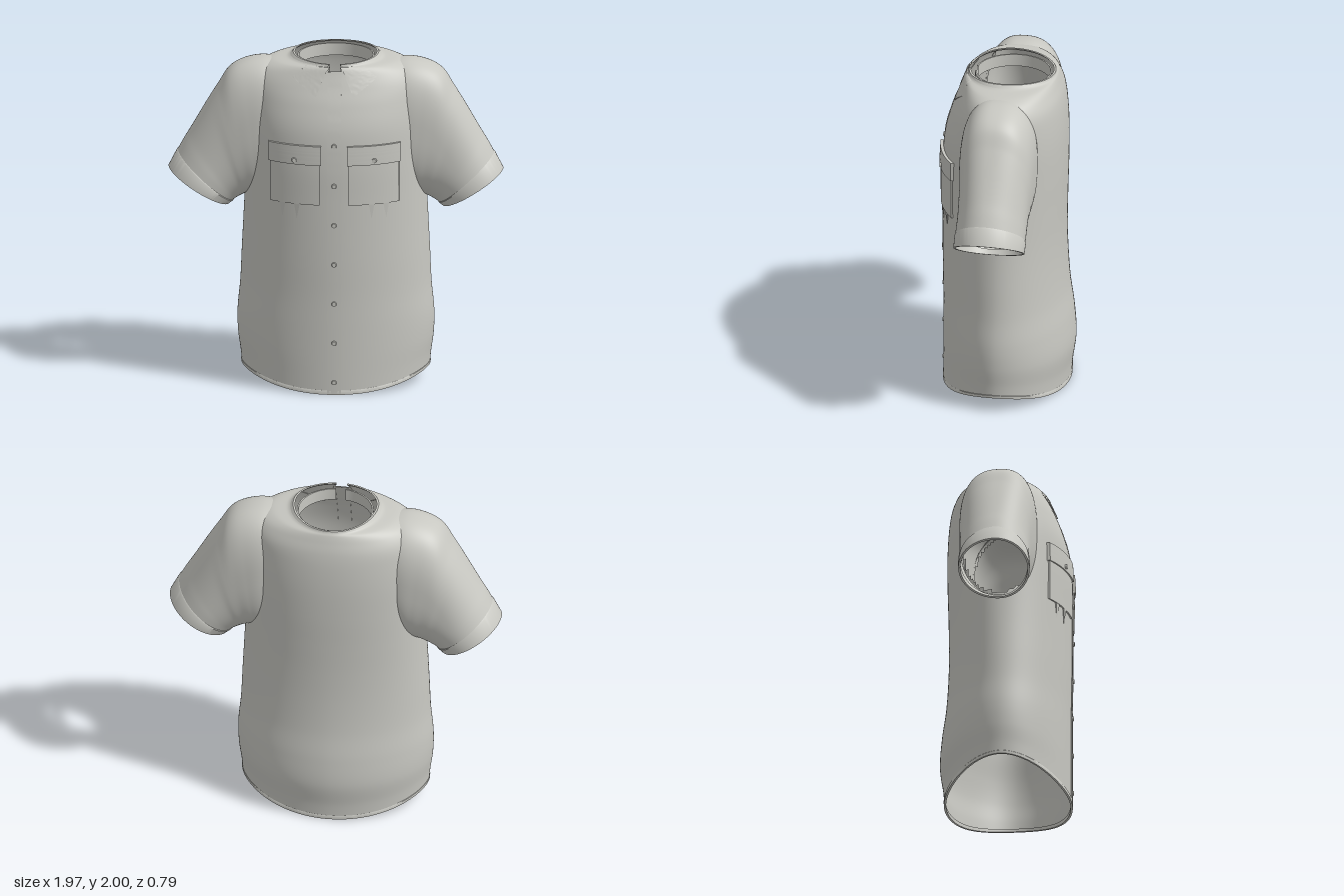
import * as THREE from 'three';
import { toCreasedNormals } from 'three/addons/utils/BufferGeometryUtils.js';

const fabric = new THREE.MeshStandardMaterial({ color: 0xc8c8c2, side: THREE.DoubleSide });
fabric.name = 'light grey fabric';

// Torso sections: y, half width, front z, back depth, roundness exponent
const TORSO = [
  [0, .553, .38, .37, 1.88], [.1, .56, .38, .377, 1.88], [.25, .575, .38, .396, 1.88],
  [.42, .578, .38, .385, 1.88], [.6, .562, .38, .36, 1.9], [.8, .553, .383, .346, 1.92],
  [1, .543, .384, .342, 1.95], [1.2, .534, .384, .345, 2], [1.4, .528, .383, .35, 2.05],
  [1.6, .525, .368, .35, 2.1], [1.75, .52, .328, .342, 2.1], [1.85, .505, .288, .328, 2.1],
  [1.92, .465, .26, .308, 2], [1.96, .385, .245, .294, 2], [1.975, .285, .236, .285, 2],
  [1.988, .25, .23, .278, 2],
];
// Sleeve sections: top x, top y, bottom x, bottom y, front z, back depth, roundness
const SLEEVE = [
  [.3, 1.95, .32, 1.3, .19, .22, 2.5], [.43, 1.965, .41, 1.2, .208, .242, 2.6],
  [.545, 1.942, .46, 1.165, .206, .242, 2.6], [.63, 1.89, .5, 1.15, .2, .238, 2.5],
  [.695, 1.79, .525, 1.14, .194, .234, 2.4], [.757, 1.69, .543, 1.13, .187, .228, 2.3],
  [.85, 1.53, .568, 1.115, .185, .226, 2.1], [.905, 1.437, .59, 1.1, .188, .226, 2],
  [.98, 1.29, .63, 1.07, .19, .222, 2],
];

// Smooth interpolation through a table of sections
function sample(table, t) {
  const last = table.length - 1;
  const i = Math.min(Math.floor(t), last - 1), f = t - i;
  const row = k => table[Math.max(0, Math.min(last, k))];
  return row(i).map((b, c) => {
    const a = row(i - 1)[c], d = row(i + 1)[c], e = row(i + 2)[c];
    return b + .5 * f * (d - a + f * (2 * a - 5 * b + 4 * d - e + f * (3 * (b - d) + e - a)));
  });
}
const spow = (v, p) => Math.sign(v) * Math.abs(v) ** p;

function torsoPoint(t, angle, offset = 0) {
  const [y, w, f, b, n] = sample(TORSO, t);
  const c = spow(Math.cos(angle), 2 / n), s = spow(Math.sin(angle), 2 / n);
  const hem = (.005 + .093 * Math.abs(c) ** 2.4) * Math.max(0, 1 - y / .4);
  const neck = .012 * Math.cos(angle) ** 2 * Math.max(0, t - 14);
  return [c * (w + offset), y + hem + neck, s * ((s > 0 ? f : b) + offset)];
}
function sleevePoint(t, angle, offset = 0) {
  const [tx, ty, bx, by, f, b, n] = sample(SLEEVE, t);
  const k = spow(Math.cos(angle), 2 / n) * (1 + offset / .2), s = spow(Math.sin(angle), 2 / n);
  return [(tx + bx) / 2 + k * (tx - bx) / 2, (ty + by) / 2 + k * (ty - by) / 2, s * ((s > 0 ? f : b) + offset)];
}

// Lookup rows used to trim the shells against each other
const torsoRows = Array.from({ length: 301 }, (_, i) => sample(TORSO, i / 20));
const sleeveRows = Array.from({ length: 81 }, (_, i) => sample(SLEEVE, i / 10));
const torsoAt = y => torsoRows.find(r => r[0] >= y) || torsoRows[300];

function frontZ(x, y) {
  const [, w, f, , n] = torsoAt(y);
  return f * Math.max(0, 1 - Math.abs(x / w) ** n) ** (1 / n);
}
function inTorso([x, y, z]) {
  if (y > 1.988) return false;
  const [, w, f, b, n] = torsoAt(y);
  return Math.abs(x / w) ** n + Math.abs(z / (z > 0 ? f : b)) ** n < .97;
}
function inSleeve([px, y, z]) {
  const x = Math.abs(px);
  if (x < .29 || y < 1.05) return false;
  let before = -1;
  for (const [tx, ty, bx, by, f, b, n] of sleeveRows) {
    const dx = (tx - bx) / 2, dy = (ty - by) / 2, qx = x - (tx + bx) / 2, qy = y - (ty + by) / 2;
    const side = qx * dy - qy * dx;
    if (before > 0 && side <= 0) {
      const k = (qx * dx + qy * dy) / (dx * dx + dy * dy);
      if (Math.abs(k) ** n + Math.abs(z / (z > 0 ? f : b)) ** n < .95) return true;
    }
    before = side;
  }
  return false;
}
// Open notch at the throat
const inNotch = ([x, y, z]) => z > 0 && Math.abs(x) < .042 && y > 1.95;

// Surface from rows of points; triangles wholly hidden inside another shell are dropped
function surface(rows, cols, point, { closed = false, flip = false, hidden = () => false } = {}) {
  const n = closed ? cols : cols + 1, pts = [], index = [];
  for (let i = 0; i <= rows; i++) for (let j = 0; j < n; j++) pts.push(point(i, j));
  const hid = pts.map(p => hidden(p));
  const tri = (a, b, c) => {
    if (hid[a] && hid[b] && hid[c]) return;
    index.push(a, flip ? c : b, flip ? b : c);
  };
  for (let i = 0; i < rows; i++) for (let j = 0; j < cols; j++) {
    const a = i * n + j, b = i * n + (j + 1) % n, c = a + n, d = b + n;
    tri(a, b, c);
    tri(b, d, c);
  }
  const g = new THREE.BufferGeometry();
  g.setAttribute('position', new THREE.Float32BufferAttribute(pts.flat(), 3));
  g.setIndex(index);
  g.computeVertexNormals();
  return g;
}

// Thin raised plate lying on the chest; place(u, v) gives x, y and thick(u, v) the height
function plate(place, thick, nu = 16, nv = 16) {
  return toCreasedNormals(surface(nv + 2, nu + 2, (i, j) => {
    const u = Math.min(1, Math.max(0, (j - 1) / nu)), v = Math.min(1, Math.max(0, (i - 1) / nv));
    const [x, y] = place(u, v);
    const edge = i === 0 || j === 0 || i === nv + 2 || j === nu + 2;
    return [x, y, frontZ(x, y) + (edge ? -.004 : thick(u, v))];
  }), .7);
}

export function createModel() {
  const shirt = new THREE.Group();
  shirt.name = 'shirt';
  const add = (name, geometry) => {
    const m = new THREE.Mesh(geometry, fabric);
    m.name = name;
    shirt.add(m);
    return m;
  };
  const TAU = Math.PI * 2;

  // Torso shell with armholes and throat notch
  add('torso', surface(120, 128, (i, j) => torsoPoint(i / 8, j / 128 * TAU),
    { closed: true, flip: true, hidden: p => inSleeve(p) || inNotch(p) }));

  // Turned hem: outer face, bottom edge, inner face
  const hem = [[.35, .001], [.32, .003], [0, .003], [0, -.01], [.35, -.01]];
  add('hem', toCreasedNormals(surface(4, 128, (i, j) => torsoPoint(hem[i][0], j / 128 * TAU, hem[i][1]),
    { closed: true }), .7));

  // Collar rim and inner collar stand, open at the front
  const rim = [[14.3, 0], [15, .002], [15, -.01], [14.3, -.01]];
  add('collarRim', toCreasedNormals(surface(3, 96, (i, j) => torsoPoint(rim[i][0], j / 96 * TAU, rim[i][1]),
    { closed: true, flip: true, hidden: inNotch }), .7));
  const stand = [[.226, 1.9], [.226, 1.975], [.217, 1.975], [.217, 1.9]];
  add('collarStand', toCreasedNormals(surface(3, 80, (i, j) => {
    const a = Math.PI / 2 + .13 + j / 80 * (TAU - .26), [r, y] = stand[i];
    return [r * Math.cos(a), y, -.03 + r * Math.sin(a)];
  }, { flip: true }), .7));

  for (const s of [1, -1]) {
    const side = s > 0 ? 'left' : 'right';
    const mirror = p => [p[0] * s, p[1], p[2]];

    // Sleeve and its cuff
    add(side + 'Sleeve', surface(80, 96, (i, j) => mirror(sleevePoint(i / 10, j / 96 * TAU)),
      { closed: true, flip: s < 0, hidden: inTorso }));
    const cuff = [[7.3, 0], [7.35, .004], [8, .004], [8, -.008], [7.3, -.008]];
    add(side + 'Cuff', toCreasedNormals(surface(4, 96,
      (i, j) => mirror(sleevePoint(cuff[i][0], j / 96 * TAU, cuff[i][1])),
      { closed: true, flip: s < 0 }), .7));

    // Chest pocket and flap
    const inner = u => (s > 0 ? u : 1 - u);
    const rect = (x0, x1, y0, y1) => (u, v) => [s * (x0 + (x1 - x0) * inner(u)), y0 + (y1 - y0) * v];
    add(side + 'Pocket', plate(rect(.085, .38, 1.17, 1.5), () => .01));
    add(side + 'PocketFlap', plate(rect(.077, .388, 1.415, 1.53), () => .019));

    // Small pointed fabric tucks below the pocket
    for (const x of [.22, .305]) add(side + 'Tuck',
      plate((u, v) => [s * x + (u - .5) * .035 * v, 1.08 + .095 * v], (u, v) => .008 * v, 4, 6));

    // Collar point, fading into the shoulder
    add(side + 'CollarPoint', plate((u, v) => {
      const k = inner(u), bx = .11 + .14 * k, by = 1.81 + .1 * k, tx = .04 + .13 * k;
      return [s * (bx + (tx - bx) * v), by + (1.974 - by) * v];
    }, u => .01 - .009 * inner(u)));
  }

  // Button placket down the front
  add('placket', plate((u, v) => [-.04 + .08 * u, .012 + 1.935 * v], () => .003, 4, 80));

  // Buttons
  const button = (x, y, lift) => {
    const b = add('button', new THREE.CylinderGeometry(.013, .016, .012, 16));
    b.rotation.x = Math.PI / 2;
    b.position.set(x, y, frontZ(x, y) + lift);
  };
  for (let i = 0; i < 7; i++) button(0, .08 + i * .2415, .006);
  for (const x of [-.235, .235]) button(x, 1.44, .021);

  return shirt;
}
